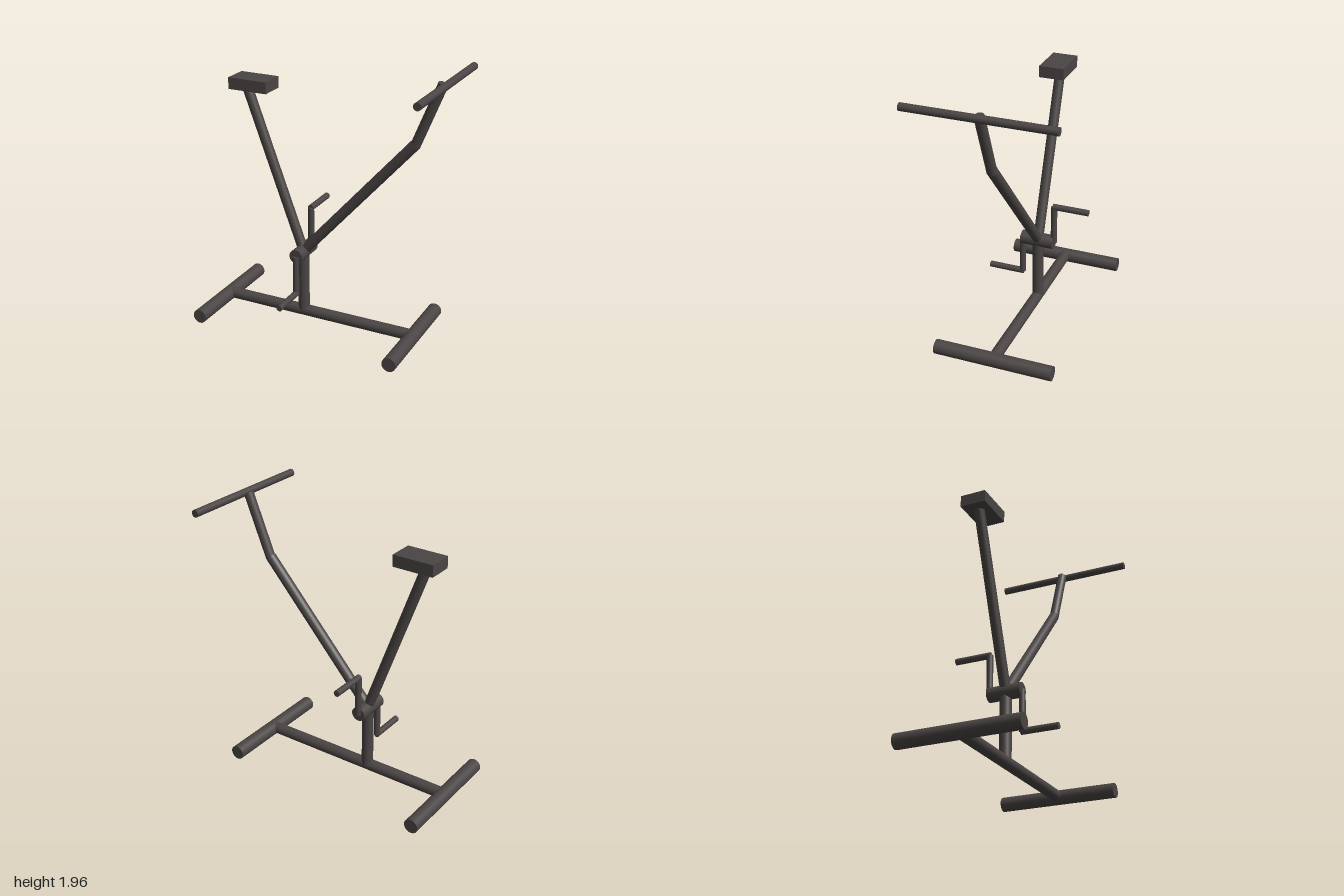
import * as THREE from 'three';

export function createModel() {
  const model = new THREE.Group();
  model.name = 'exerciseBike';
  const darkMetal = new THREE.MeshStandardMaterial({ color: 0x4a4544 });
  darkMetal.name = 'darkMetal';

  // The frame lies in a plane along its own x axis, turned on the floor
  const bike = new THREE.Group();
  bike.name = 'bike';
  bike.rotation.y = THREE.MathUtils.degToRad(-20);
  model.add(bike);

  const Z = -0.035; // centre plane of the frame
  const hub = [-0.222, 0.545];

  // Round bar between two points, z measured from the centre plane
  function bar(name, a, b, radius) {
    const start = new THREE.Vector3(a[0], a[1], Z + (a[2] || 0));
    const end = new THREE.Vector3(b[0], b[1], Z + (b[2] || 0));
    const dir = end.clone().sub(start);
    const mesh = new THREE.Mesh(new THREE.CylinderGeometry(radius, radius, dir.length(), 32), darkMetal);
    mesh.name = name;
    mesh.position.copy(start).add(end).multiplyScalar(0.5);
    mesh.quaternion.setFromUnitVectors(new THREE.Vector3(0, 1, 0), dir.normalize());
    bike.add(mesh);
  }

  // Base
  bar('rearFoot', [-0.869, 0.0525, -0.437], [-0.869, 0.0525, 0.437], 0.0525);
  bar('frontFoot', [0.654, 0.0525, -0.437], [0.654, 0.0525, 0.437], 0.0525);
  bar('baseBeam', [-0.869, 0.058], [0.654, 0.058], 0.042);
  bar('uprightPost', [hub[0], 0.058], hub, 0.042);

  // Seat post, and handlebar stem with a bend
  bar('seatPost', hub, [-0.665, 1.75], 0.037);
  bar('lowerStem', hub, [0.622, 1.497], 0.038);
  bar('upperStem', [0.622, 1.487], [0.803, 1.94], 0.035);
  bar('handlebar', [0.83, 1.935, -0.521], [0.83, 1.935, 0.521], 0.027);

  // Seat
  const seat = new THREE.Mesh(new THREE.BoxGeometry(0.3, 0.084, 0.184), darkMetal);
  seat.name = 'seat';
  seat.position.set(-0.608, 1.768, Z);
  bike.add(seat);

  // Crank hub, arms and pedals
  bar('crankHub', [...hub, -0.124], [...hub, 0.124], 0.052);
  for (const [side, s] of [['front', 1], ['back', -1]]) {
    const pedalY = hub[1] - s * 0.295;
    bar(side + 'CrankArm', [...hub, s * 0.122], [hub[0], pedalY, s * 0.122], 0.023);
    bar(side + 'Pedal', [hub[0], pedalY, s * 0.115], [hub[0], pedalY, s * 0.383], 0.023);
  }
  return model;
}
